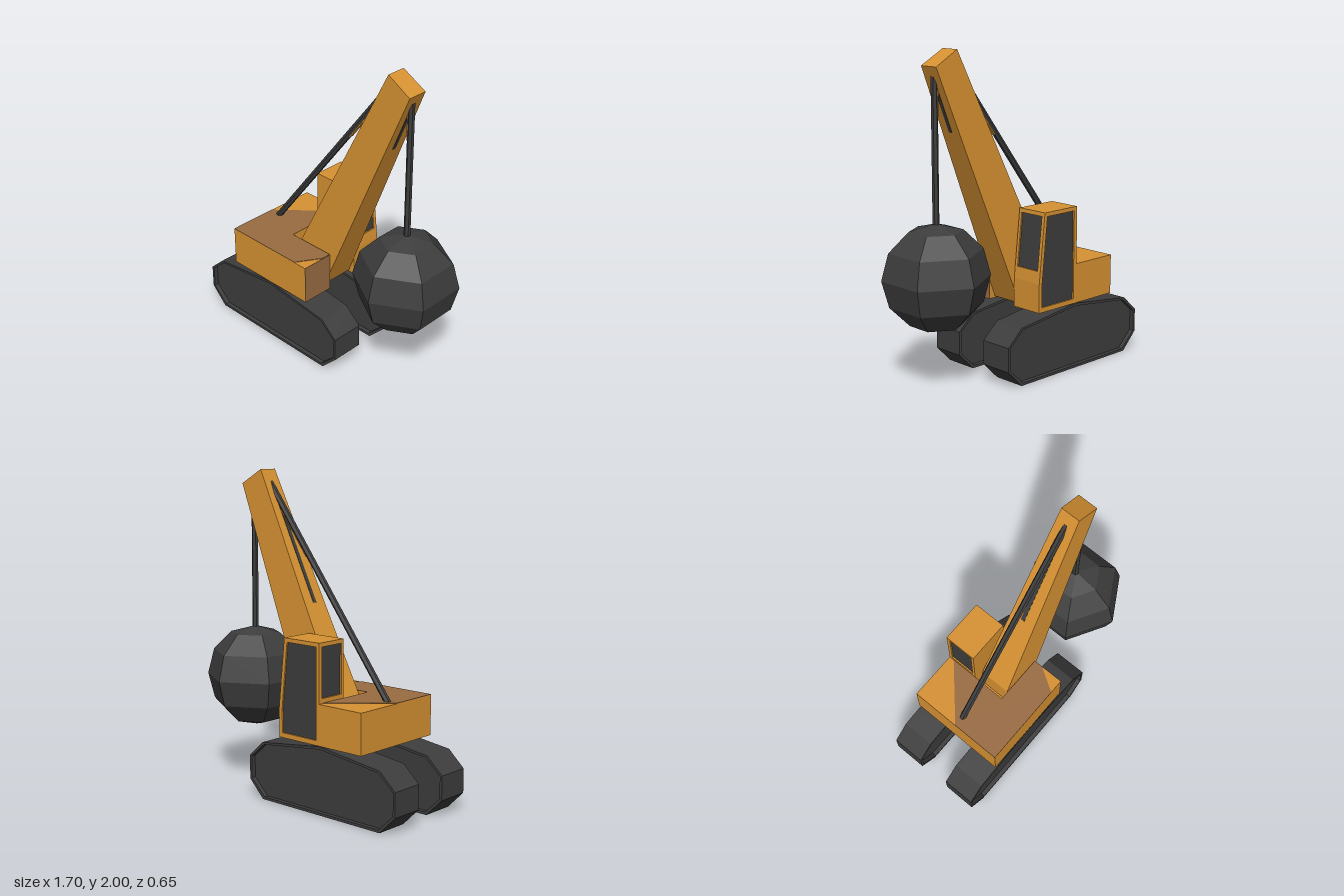
import * as THREE from 'three';

function flat(name, color) {
  const material = new THREE.MeshStandardMaterial({ color, flatShading: true });
  material.name = name;
  return material;
}
const orange = flat('machine orange', 0xd79232);
const brown = flat('worn brown', 0x996c42);
const dark = flat('dark iron', 0x3d3d3d);

function add(parent, name, geometry, material) {
  const mesh = new THREE.Mesh(geometry, material);
  mesh.name = name;
  parent.add(mesh);
  return mesh;
}

// Side profile (x, y) extruded from z0 to z1, with an optional hole
function prism(points, z0, z1, hole) {
  const toVectors = (list) => list.map(([x, y]) => new THREE.Vector2(x, y));
  const shape = new THREE.Shape(toVectors(points));
  if (hole) shape.holes.push(new THREE.Path(toVectors(hole)));
  return new THREE.ExtrudeGeometry(shape, { depth: z1 - z0, bevelEnabled: false }).translate(0, 0, z0);
}

function boxBetween(x0, x1, y0, y1, z0, z1) {
  return new THREE.BoxGeometry(x1 - x0, y1 - y0, z1 - z0)
    .translate((x0 + x1) / 2, (y0 + y1) / 2, (z0 + z1) / 2);
}

const rect = (u0, u1, v0, v1) => [[u0, v0], [u1, v0], [u1, v1], [u0, v1]];

// Moves every vertex of a geometry by a rule
function reshape(geometry, rule) {
  const p = geometry.attributes.position;
  const v = new THREE.Vector3();
  for (let i = 0; i < p.count; i++) {
    rule(v.fromBufferAttribute(p, i));
    p.setXYZ(i, v.x, v.y, v.z);
  }
  geometry.computeVertexNormals();
  return geometry;
}

// Lays a geometry built along y between two (x, y) points at z = 0
function span(parent, name, [x0, y0], [x1, y1], build, material) {
  const mesh = add(parent, name, build(Math.hypot(x1 - x0, y1 - y0)), material);
  mesh.position.set((x0 + x1) / 2, (y0 + y1) / 2, 0);
  mesh.rotation.z = Math.atan2(x0 - x1, y1 - y0);
}
const cable = (length) => new THREE.CylinderGeometry(0.02, 0.02, length, 6);
const strip = (length) => new THREE.BoxGeometry(0.005, length, 0.026);

export function createModel() {
  const model = new THREE.Group();
  model.name = 'wreckingCrane';

  // Crawler tracks: a rim with recessed sides
  const trackOutline = [
    [-0.85, 0.11], [-0.74, 0], [0.19, 0], [0.3, 0.11], [0.3, 0.26],
    [0.19, 0.36], [-0.28, 0.418], [-0.74, 0.36], [-0.85, 0.26],
  ];
  const trackInset = trackOutline.map(([x, y]) => [-0.275 + (x + 0.275) * 0.972, 0.2 + (y - 0.2) * 0.92]);
  for (const [name, z] of [['rightTrack', 0.216], ['leftTrack', -0.216]]) {
    const track = new THREE.Group();
    track.name = name;
    track.position.z = z;
    add(track, 'trackRim', prism(trackOutline, -0.107, 0.107, trackInset), dark);
    add(track, 'trackSide', prism(trackInset, -0.079, 0.079), dark);
    model.add(track);
  }

  // House: rear block, side block and floor around the boom slot
  const house = new THREE.Group();
  house.name = 'house';
  add(house, 'rearHouse', boxBetween(-0.6, -0.28, 0.42, 0.67, -0.323, 0.323), orange);
  add(house, 'sideHouse', boxBetween(-0.28, 0.045, 0.42, 0.67, 0.11, 0.323), orange);
  add(house, 'slotFloor', boxBetween(-0.28, -0.02, 0.42, 0.45, -0.11, 0.11), orange);

  // Brown paint on the roof (x, z outline) and on the front of the side block
  const roofPaint = prism([
    [-0.6, 0], [-0.28, -0.29], [-0.28, 0.11], [0.045, 0.11],
    [0.045, 0.17], [-0.05, 0.323], [-0.6, 0.323],
  ], 0, 0.004).rotateX(Math.PI / 2).translate(0, 0.673, 0);
  add(house, 'roofPaint', roofPaint, brown);
  add(house, 'frontPaint', boxBetween(0.043, 0.047, 0.42, 0.67, 0.11, 0.323), brown);
  model.add(house);

  // Cab core with framed panels around slightly recessed windows
  const cab = new THREE.Group();
  cab.name = 'cab';
  const lean = (v) => { v.x -= (v.y - 0.6) * 0.105; };
  const cabOutline = [[-0.28, 0.42], [0.045, 0.42], [0.045, 0.6], [0, 1.03], [-0.28, 1.03]];
  const sideOpening = [[-0.255, 0.45], [0.02, 0.45], [0.02, 0.6], [-0.022, 1.005], [-0.255, 1.005]];
  add(cab, 'cabCore', prism(
    [[-0.268, 0.42], [0.033, 0.42], [0.033, 0.6], [-0.012, 1.03], [-0.268, 1.03]], -0.311, -0.11), orange);
  add(cab, 'sideFrame', prism(cabOutline, -0.323, -0.311, sideOpening), orange);
  add(cab, 'sideWindow', prism(sideOpening, -0.314, -0.31), dark);
  add(cab, 'rearFrame', prism(rect(-0.323, -0.11, 0.42, 1.03), 0.268, 0.28, rect(-0.3, -0.13, 0.7, 1.005))
    .rotateY(-Math.PI / 2), orange);
  add(cab, 'rearWindow', boxBetween(-0.271, -0.267, 0.7, 1.005, -0.3, -0.13), dark);
  add(cab, 'lowerFront', boxBetween(0.033, 0.045, 0.42, 0.6, -0.323, -0.11), orange);
  const frontFrame = prism(rect(-0.323, -0.11, 0.6, 1.03), -0.045, -0.033, rect(-0.3, -0.13, 0.675, 1.005))
    .rotateY(-Math.PI / 2);
  add(cab, 'frontFrame', reshape(frontFrame, lean), orange);
  add(cab, 'windscreen', reshape(boxBetween(0.032, 0.036, 0.675, 1.005, -0.3, -0.13), lean), dark);
  model.add(cab);

  // Boom, narrowing in width with height
  const boom = prism([[-0.22, 0.65], [-0.22, 0.43], [0, 0.43], [0.61, 1.91], [0.45, 2]], -1, 1);
  add(model, 'boom', reshape(boom, (v) => {
    v.z *= THREE.MathUtils.mapLinear(v.y, 0.43, 2, 0.109, 0.062);
  }), orange);

  // Dark strips along the boom's back and underside
  span(model, 'boomBackStrip', [0.053, 1.2], [0.4, 1.9], strip, dark);
  span(model, 'boomUnderStrip', [0.449, 1.52], [0.585, 1.85], strip, dark);

  // Cables, each with an orange streak near the top
  span(model, 'stayCable', [-0.55, 0.637], [0.436, 1.928], cable, dark);
  span(model, 'stayStreak', [0.114, 1.477], [0.344, 1.778], strip, orange);
  span(model, 'hoistCable', [0.57, 0.95], [0.57, 1.85], cable, dark);
  span(model, 'hoistStreak', [0.553, 1.62], [0.553, 1.8], strip, orange);

  // Faceted wrecking ball
  const ball = add(model, 'wreckingBall', new THREE.SphereGeometry(0.325, 6, 6), dark);
  ball.rotation.y = Math.PI / 6;
  ball.position.set(0.57, 0.679, 0);

  return model;
}
